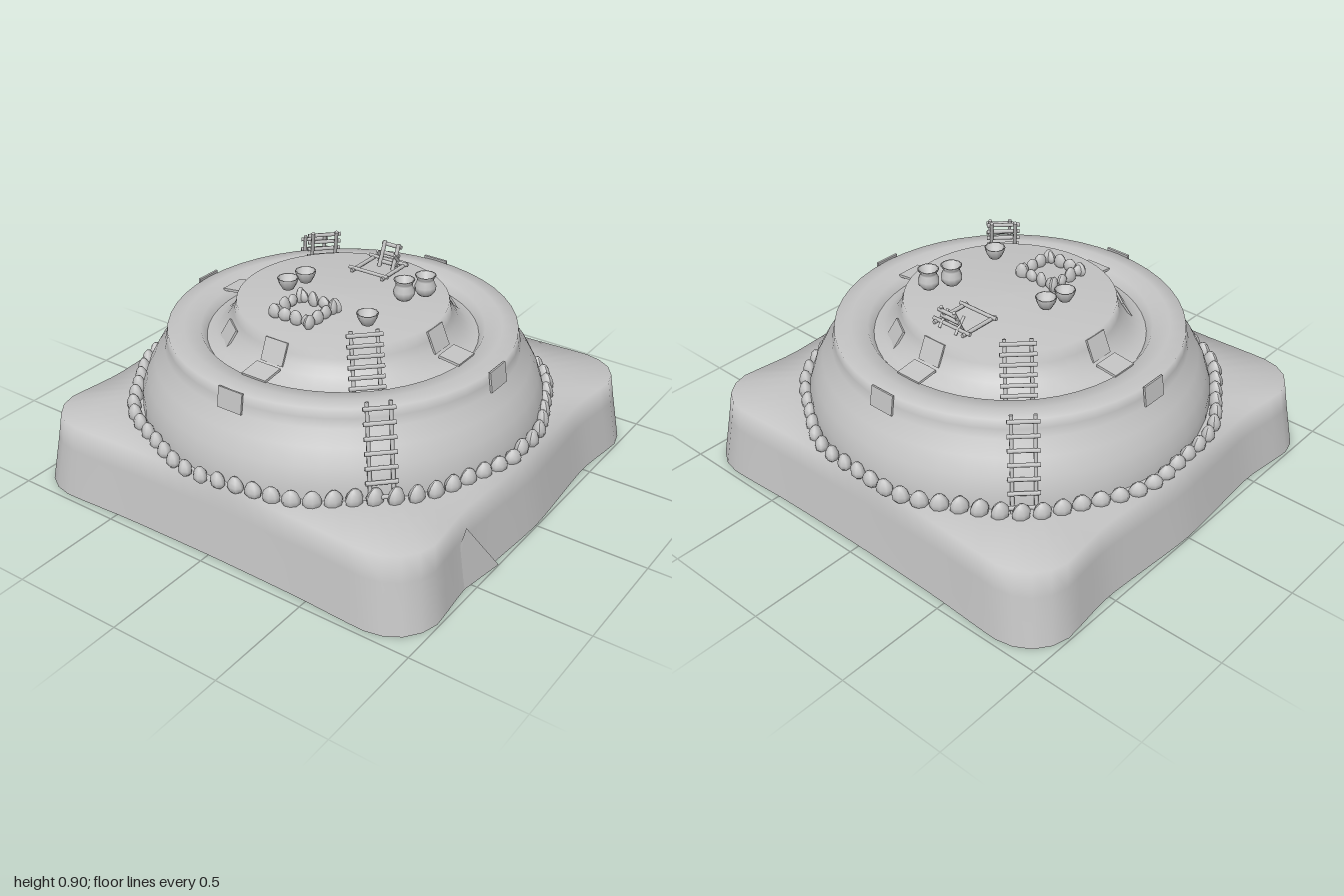
import * as THREE from 'three';
import { ConvexGeometry } from 'three/addons/geometries/ConvexGeometry.js';

const clay = new THREE.MeshStandardMaterial({ color: 0xc4c4c4, side: THREE.DoubleSide });
clay.name = 'light grey clay';

const V = (x, y, z) => new THREE.Vector3(x, y, z);

function add(parent, name, geometry) {
  const mesh = new THREE.Mesh(geometry, clay);
  mesh.name = name;
  parent.add(mesh);
  return mesh;
}

function lathe(parent, name, profile, segments = 48) {
  return add(parent, name, new THREE.LatheGeometry(profile.map(p => new THREE.Vector2(...p)), segments));
}

// Skin between closed rings of equal point count
function loft(rings) {
  const n = rings[0].length, pos = [], idx = [];
  rings.forEach(ring => ring.forEach(p => pos.push(p.x, p.y, p.z)));
  for (let k = 0; k < rings.length - 1; k++) {
    for (let i = 0; i < n; i++) {
      const j = (i + 1) % n, a = k * n, b = a + n;
      idx.push(a + i, b + i, b + j, a + i, b + j, a + j);
    }
  }
  const g = new THREE.BufferGeometry();
  g.setAttribute('position', new THREE.Float32BufferAttribute(pos, 3));
  g.setIndex(idx);
  g.computeVertexNormals();
  return g;
}

// Round stick between two points
function stick(parent, name, a, b, r) {
  const d = b.clone().sub(a);
  const m = add(parent, name, new THREE.CylinderGeometry(r, r, d.length(), 6));
  m.position.copy(a).add(b).multiplyScalar(0.5);
  m.quaternion.setFromUnitVectors(V(0, 1, 0), d.normalize());
}

// Ladder in a group whose local +z points outward from the centre
function ladder(parent, name, angle, r0, y0, r1, y1, width, rungs) {
  const g = new THREE.Group();
  g.name = name;
  g.rotation.y = angle;
  for (const s of [-1, 1]) {
    stick(g, 'ladderRail', V(s * width * 0.36, y0, r0), V(s * width * 0.36, y1, r1), 0.009);
  }
  for (let i = 0; i < rungs; i++) {
    const t = (i + 0.6) / rungs, y = y0 + (y1 - y0) * t, z = r0 + (r1 - r0) * t + 0.008;
    stick(g, 'ladderRung', V(-width / 2, y, z), V(width / 2, y, z), 0.009);
  }
  parent.add(g);
  return g;
}

// Thin slab set against the mound at an angle around it
function slab(parent, name, angle, r, y, size, tilt) {
  const g = new THREE.Group();
  g.name = name;
  g.rotation.y = angle;
  const m = add(g, name, new THREE.BoxGeometry(...size));
  m.position.set(0, y, r);
  m.rotation.x = tilt;
  parent.add(g);
}

// Upright boulder, narrowed towards its tip
function stone(parent, x, y, z, angle, w, h, d) {
  const g = new THREE.SphereGeometry(1, 8, 6), p = g.attributes.position;
  for (let i = 0; i < p.count; i++) {
    const k = 1 - 0.22 * p.getY(i);
    p.setXYZ(i, p.getX(i) * k * w, p.getY(i) * h, p.getZ(i) * k * d);
  }
  g.computeVertexNormals();
  const m = add(parent, 'stone', g);
  m.position.set(x, y, z);
  m.rotation.y = angle;
}

function createModel() {
  const model = new THREE.Group();
  model.name = 'terracedMound';

  // Wavy square base, with one quarter of the outline mirrored
  const quarter = [[0.952, 0], [0.958, 0.45], [0.972, 0.8], [0.92, 0.92], [0.8, 0.99], [0.5, 0.965], [0, 0.995]];
  const mirrored = quarter.slice(0, 6).reverse().map(([x, z]) => [-x, z]);
  const half = [...quarter, ...mirrored];
  const outline = [...half, ...half.slice(1, -1).reverse().map(([x, z]) => [x, -z])];
  const curve = new THREE.CatmullRomCurve3(outline.map(([x, z]) => V(x, 0, z)), true, 'catmullrom', 0.3);
  const edge = curve.getSpacedPoints(96).slice(0, 96);
  const ring = (s, y) => edge.map(p => V(p.x * s, y, p.z * s));
  const circle = (r, y) => edge.map(p => {
    const a = Math.atan2(p.z, p.x);
    return V(Math.cos(a) * r, y, Math.sin(a) * r);
  });
  // Wall and terrace share one soft edge; the base is open below
  add(model, 'baseBody', loft([ring(1, 0), ring(0.967, 0.22), ring(0.952, 0.33), circle(0.88, 0.34)]));
  // Inner skirt hanging from the mound foot
  add(model, 'innerSkirt', loft([ring(0.69, 0.04), circle(0.88, 0.34)]));
  // Folded flap at the foot of the front wall
  add(model, 'wallFold', new ConvexGeometry([
    V(-0.62, 0, 0.955), V(-0.5, 0.26, 0.938), V(-0.325, 0, 0.998), V(-0.4, 0, 0.93), V(-0.62, 0.1, 0.94)]));

  // Lower tier: flared wall rolling over a soft rim into a shallow groove
  lathe(model, 'lowerTier', [[0.885, 0.34], [0.882, 0.4], [0.858, 0.47], [0.82, 0.54], [0.775, 0.6], [0.765, 0.64],
    [0.758, 0.68], [0.69, 0.685], [0.615, 0.672], [0.59, 0.635]]);

  // Upper tier: flared wall running softly into the floor
  lathe(model, 'upperTier', [[0.59, 0.635], [0.55, 0.645], [0.51, 0.68], [0.49, 0.71], [0.47, 0.74],
    [0.458, 0.792], [0, 0.8]]);

  // Slabs on walls and rim
  for (let i = 0; i < 4; i++) {
    const a = i * Math.PI / 2;
    slab(model, 'lowerWallSlab', a, 0.77, 0.645, [0.12, 0.09, 0.009], -0.15);
    slab(model, 'rimSlab', a, 0.572, 0.682, [0.12, 0.012, 0.1], 0.12);
    slab(model, 'upperWallSlab', a, 0.482, 0.735, [0.11, 0.1, 0.009], -0.42);
  }
  for (const a of [Math.atan2(0.43, 0.26), Math.atan2(-0.39, -0.3)]) {
    slab(model, 'upperWallSlab', a, 0.51, 0.685, [0.12, 0.1, 0.009], -0.55);
  }

  // Ring of stones around the mound foot
  const stones = new THREE.Group();
  stones.name = 'stoneRing';
  const count = 70;
  for (let i = 0; i < count; i++) {
    const a = i / count * Math.PI * 2, k = Math.sin(i * 12.9), r = 0.91 + 0.01 * Math.sin(i * 7.3);
    stone(stones, Math.sin(a) * r, 0.358 + 0.004 * k, Math.cos(a) * r - 0.01, a + 0.5 * k,
      0.039, 0.039 + 0.004 * k, 0.029);
  }
  model.add(stones);

  // Two ladders on each of two opposite corners
  for (const a of [-Math.PI / 4, Math.PI * 3 / 4]) {
    ladder(model, 'lowerLadder', a, 0.905, 0.33, 0.8, 0.735, 0.13, 7);
    ladder(model, 'upperLadder', a, 0.575, 0.64, 0.49, 0.88, 0.15, 6);
  }

  // Square hearth of upright stones
  const hearth = new THREE.Group();
  hearth.name = 'hearth';
  for (let side = 0; side < 4; side++) {
    for (let i = 0; i < 4; i++) {
      const a = side * Math.PI / 2, u = -0.09 + i * 0.056, c = Math.cos(a), s = Math.sin(a);
      stone(hearth, -0.237 + u * c + 0.09 * s, 0.823, -0.028 - u * s + 0.09 * c, a + 0.4 * Math.sin(i * 5 + side),
        0.03, 0.032 + 0.006 * Math.sin(i * 3 + side), 0.02);
    }
  }
  model.add(hearth);

  // Roof hatch frame with a small ladder
  const hatch = new THREE.Group();
  hatch.name = 'hatchFrame';
  for (const s of [-1, 1]) {
    stick(hatch, 'frameStick', V(0.2, 0.812, -0.015 + s * 0.08), V(0.4, 0.812, -0.015 + s * 0.08), 0.009);
    stick(hatch, 'frameStick', V(0.3 + s * 0.08, 0.818, -0.12), V(0.3 + s * 0.08, 0.818, 0.085), 0.009);
    stick(hatch, 'prop', V(0.4, 0.8, -0.01 + s * 0.045), V(0.345, 0.865, -0.01 + s * 0.045), 0.007);
  }
  ladder(hatch, 'hatchLadder', Math.PI / 2, 0.345, 0.79, 0.395, 0.9, 0.1, 3).position.z = -0.01;
  model.add(hatch);

  // Bowls and jars
  const bowl = [[0, 0.81], [0.026, 0.81], [0.04, 0.835], [0.047, 0.86], [0.041, 0.86], [0.032, 0.835], [0, 0.822]];
  for (const [x, z] of [[-0.1, -0.22], [0, -0.2], [-0.18, 0.25]]) {
    lathe(model, 'bowl', bowl, 10).position.set(x, 0, z);
  }
  const jar = [[0, 0.805], [0.03, 0.805], [0.045, 0.825], [0.047, 0.845], [0.036, 0.87], [0.037, 0.88],
    [0.047, 0.895], [0.04, 0.895], [0.03, 0.87], [0, 0.84]];
  for (const [x, z] of [[0.11, 0.24], [0.2, 0.29]]) {
    lathe(model, 'jar', jar, 12).position.set(x, 0, z);
  }
  return model;
}

export { createModel };
